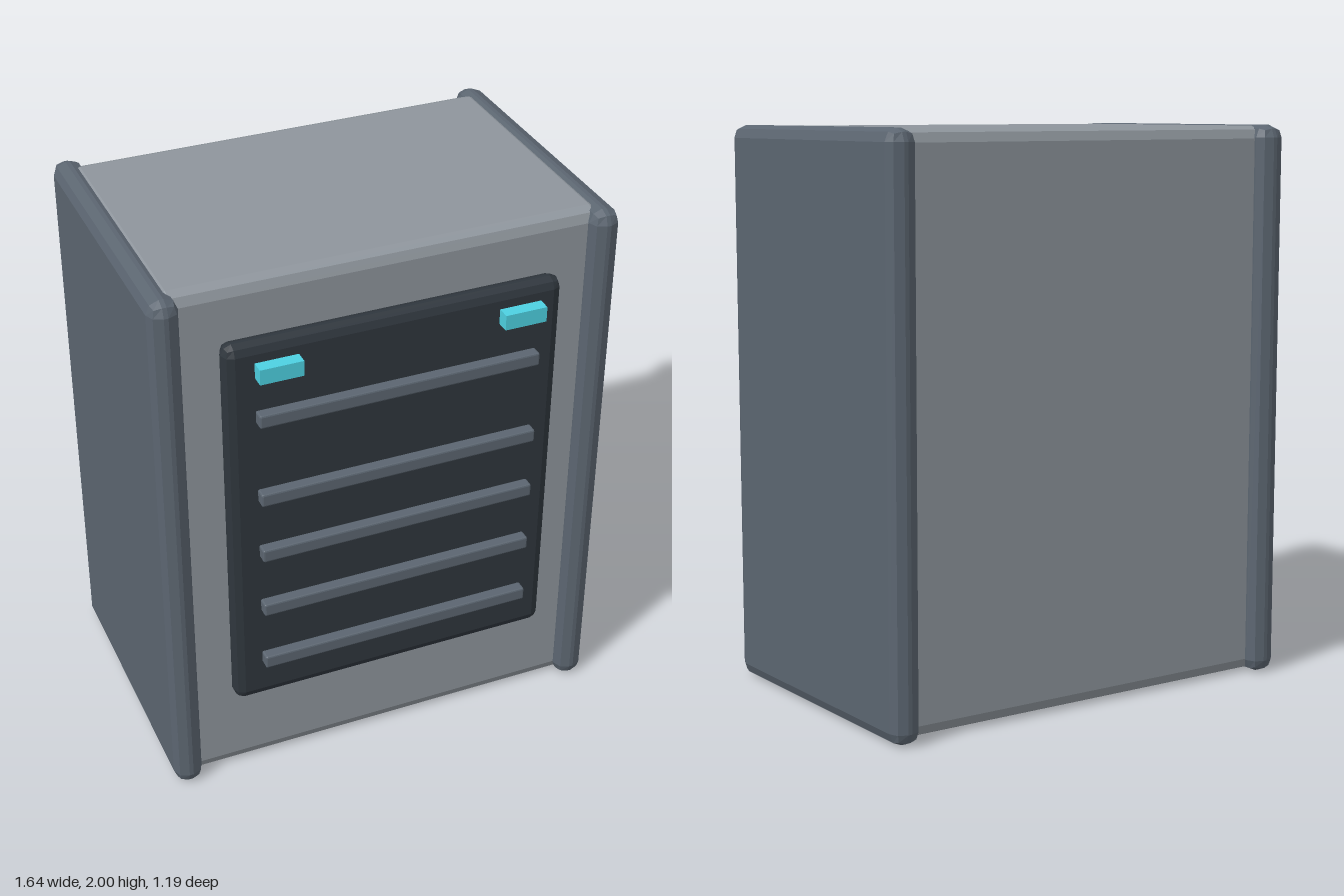
import * as THREE from 'three';
import { RoundedBoxGeometry } from 'three/addons/geometries/RoundedBoxGeometry.js';

const material = (color) => new THREE.MeshStandardMaterial({ color, flatShading: true });

// Box given by its [min, max] extents, with optional two-facet bevelled edges
function block(name, [x0, x1], [y0, y1], [z0, z1], bevel, mat) {
  const w = x1 - x0, h = y1 - y0, d = z1 - z0;
  const geometry = bevel > 0
    ? new RoundedBoxGeometry(w, h, d, 1, bevel)
    : new THREE.BoxGeometry(w, h, d);
  const mesh = new THREE.Mesh(geometry, mat);
  mesh.name = name;
  mesh.position.set((x0 + x1) / 2, (y0 + y1) / 2, (z0 + z1) / 2);
  return mesh;
}

export function createModel() {
  const group = new THREE.Group();
  group.name = 'cabinet';

  const bodyGrey = material(0x8e959c);
  const sideGrey = material(0x5b6570);
  const doorDark = material(0x2f363d);
  const lightCyan = material(0x4dd0e1);

  // Main body
  group.add(block('body', [-0.785, 0.785], [0.003, 1.997], [-0.545, 0.455], 0.045, bodyGrey));

  // Raised front panel
  group.add(block('frontPanel', [-0.597, 0.597], [0.355, 1.81], [0.45, 0.532], 0.035, doorDark));

  // Horizontal vent slats
  [1.545, 1.235, 1.005, 0.773, 0.541].forEach((y, i) => {
    group.add(block(`slat${i + 1}`, [-0.5, 0.5], [y - 0.024, y + 0.024], [0.535, 0.578], 0.006, sideGrey));
  });

  // Side panels and indicator lights, mirrored left and right
  for (const [side, s] of [['left', 1], ['right', -1]]) {
    const span = (a, b) => (s > 0 ? [a, b] : [-b, -a]);
    group.add(block(`${side}SidePanel`, span(0.717, 0.822), [0, 2], [-0.597, 0.505], 0.045, sideGrey));
    group.add(block(`${side}Light`, span(0.354, 0.504), [1.702, 1.757], [0.551, 0.597], 0, lightCyan));
  }

  return group;
}
